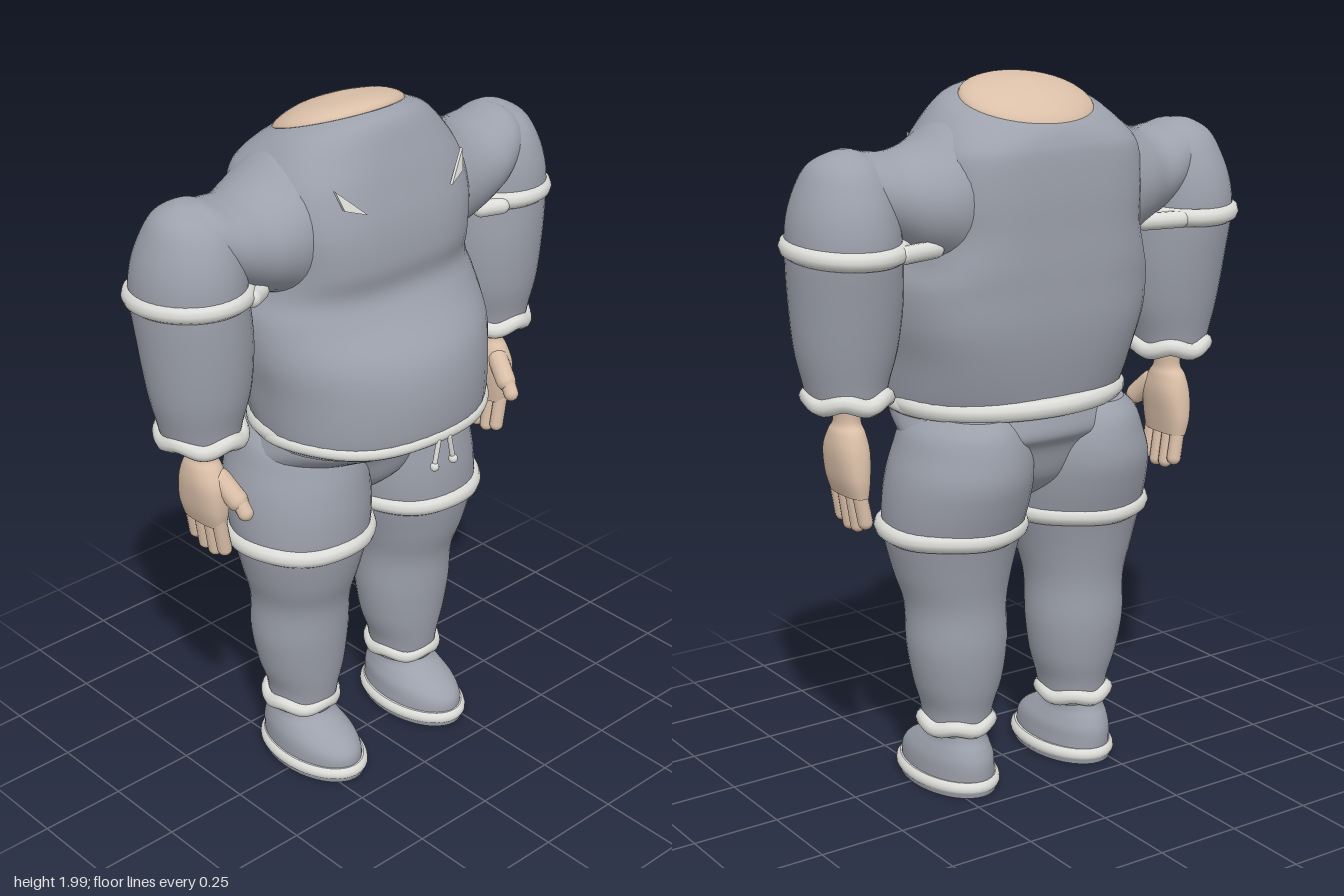
import * as THREE from 'three';

const mat = (name, color) => Object.assign(new THREE.MeshStandardMaterial({ color }), { name });

// Smooth loft through rows of [y, x0, x1, zFront, zBack, nFront, nBack, tilt], listed upwards
function loft(rows, s = 1, sub = 5, seg = 40) {
  const full = rows.map(([y, x0, x1, f, b, nf = 2, nb = nf, t = 0]) => [y, x0, x1, f, b, nf, nb, t]);
  const at = i => full[Math.max(0, Math.min(full.length - 1, i))];
  const rings = [];
  for (let i = 0; i < full.length - 1; i++)
    for (let k = 0; k < sub; k++) {
      const u = k / sub;
      rings.push(full[i].map((_, c) => {
        const [p, q, r, w] = [at(i - 1)[c], at(i)[c], at(i + 1)[c], at(i + 2)[c]];
        return q + 0.5 * u * (r - p + u * (2 * p - 5 * q + 4 * r - w + u * (3 * (q - r) + w - p)));
      }));
    }
  rings.push(full[full.length - 1]);
  const pos = [], idx = [];
  const ring = ([y, x0, x1, f, b, nf, nb, t]) => {
    const cz = (f + b) / 2;
    for (let j = 0; j < seg; j++) {
      const a = (j / seg) * Math.PI * 2, c = Math.cos(a), d = Math.sin(a), e = 2 / (d >= 0 ? nf : nb);
      const z = (f - b) / 2 * Math.sign(d) * Math.abs(d) ** e;
      pos.push(s * (x0 + x1) / 2 + (x1 - x0) / 2 * Math.sign(c) * Math.abs(c) ** e, y + t * z, cz + z);
    }
  };
  rings.forEach(ring);
  for (let i = 0; i < rings.length - 1; i++)
    for (let j = 0; j < seg; j++) {
      const a = i * seg + j, c = i * seg + (j + 1) % seg;
      idx.push(a, a + seg, c, a + seg, c + seg, c);
    }
  for (const [r, top] of [[rings[0], false], [rings[rings.length - 1], true]]) {
    const o = pos.length / 3;
    ring(r);
    pos.push(s * (r[1] + r[2]) / 2, r[0], (r[3] + r[4]) / 2);
    for (let j = 0; j < seg; j++) {
      const a = o + j, b = o + (j + 1) % seg;
      idx.push(o + seg, top ? b : a, top ? a : b);
    }
  }
  const g = new THREE.BufferGeometry();
  g.setAttribute('position', new THREE.Float32BufferAttribute(pos, 3));
  g.setIndex(idx);
  g.computeVertexNormals();
  return g;
}

// Rolled trim running round an oval, with an optional wave
function trim(y, x0, x1, f, b, r, s = 1, wave = 0, tilt = 0) {
  const pts = [];
  for (let j = 0; j < 32; j++) {
    const a = (j / 32) * Math.PI * 2, z = Math.sin(a) * (f - b) / 2;
    pts.push(new THREE.Vector3(s * (x0 + x1) / 2 + Math.cos(a) * (x1 - x0) / 2,
      y + tilt * z + wave * Math.sin(a * 5), (f + b) / 2 + z));
  }
  return new THREE.TubeGeometry(new THREE.CatmullRomCurve3(pts, true), 64, r, 10, true);
}

// Rounded rod between two points
function rod(a, b, r) {
  const p = new THREE.Vector3(...a), q = new THREE.Vector3(...b), d = q.clone().sub(p);
  const g = new THREE.CapsuleGeometry(r, d.length(), 6, 12);
  g.applyQuaternion(new THREE.Quaternion().setFromUnitVectors(new THREE.Vector3(0, 1, 0), d.normalize()));
  return g.translate(...p.add(q).multiplyScalar(0.5).toArray());
}

export function createModel() {
  const root = new THREE.Group();
  root.name = 'suitedFigure';
  const cloth = mat('greyCloth', 0x9da1ac), white = mat('whiteTrim', 0xdcdcd8), skin = mat('skin', 0xdabfa8);
  const add = (name, geo, m) => {
    const mesh = new THREE.Mesh(geo, m);
    mesh.name = name;
    root.add(mesh);
    return mesh;
  };

  // Torso with round belly, square back and sloping collar
  add('torso', loft([
    [1.09, -0.335, 0.335, 0.285, -0.25], [1.14, -0.345, 0.345, 0.303, -0.265, 2, 2.4],
    [1.25, -0.355, 0.355, 0.305, -0.29, 2, 2.8], [1.35, -0.37, 0.37, 0.28, -0.305, 2, 3],
    [1.45, -0.365, 0.365, 0.205, -0.31, 2.2, 3], [1.52, -0.335, 0.335, 0.168, -0.312, 2.6, 3.4],
    [1.6, -0.315, 0.315, 0.178, -0.312, 3, 3.6], [1.7, -0.318, 0.318, 0.17, -0.312, 3.2, 3.6],
    [1.8, -0.31, 0.31, 0.145, -0.305, 3, 3.4], [1.86, -0.28, 0.28, 0.12, -0.295, 2.6, 3, 0.1],
    [1.91, -0.235, 0.235, 0.09, -0.283, 2.2, 2.4, 0.24], [1.928, -0.198, 0.198, 0.05, -0.272, 2, 2, 0.3],
  ]), cloth);
  add('neck', loft([
    [1.9, -0.192, 0.192, 0.045, -0.268, 2, 2, 0.3], [1.935, -0.188, 0.188, 0.04, -0.262, 2, 2, 0.3],
    [1.965, -0.14, 0.14, 0.01, -0.21, 2, 2, 0.25], [1.982, -0.07, 0.07, -0.03, -0.14, 2, 2, 0.2],
    [1.988, -0.01, 0.01, -0.07, -0.09, 2, 2, 0.1],
  ]), skin);

  // Hips under the belly
  add('hips', loft([
    [0.83, -0.03, 0.03, 0.0, -0.12], [0.9, -0.19, 0.19, 0.08, -0.21], [1.0, -0.335, 0.335, 0.12, -0.25],
    [1.04, -0.345, 0.345, 0.19, -0.28], [1.09, -0.335, 0.335, 0.28, -0.275], [1.14, -0.32, 0.32, 0.27, -0.26],
  ]), cloth);
  add('shirtHem', trim(1.115, -0.335, 0.335, 0.29, -0.26, 0.02, 1, 0.004), white);
  add('waistband', trim(1.12, -0.325, 0.325, 0.22, -0.268, 0.028), white);

  for (const s of [1, -1]) {
    const side = s > 0 ? 'left' : 'right';
    const part = (name, geo, m) => add(side + name, geo, m);

    // Drawstring and chest pocket tab
    part('Drawstring', rod([s * 0.02, 1.11, 0.305], [s * 0.034, 1.045, 0.305], 0.007), white);
    part('DrawstringTip', new THREE.SphereGeometry(0.013, 12, 8).translate(s * 0.035, 1.038, 0.306), white);
    const tab = new THREE.Shape([[0.15, 1.76], [0.21, 1.78], [0.226, 1.832]].map(([x, y]) => new THREE.Vector2(s * x, y)));
    const tabGeo = new THREE.ExtrudeGeometry(tab, { depth: 0.009, bevelEnabled: false });
    const tp = tabGeo.attributes.position;
    for (let i = 0; i < tp.count; i++)
      tp.setZ(i, tp.getZ(i) + 0.158 - 0.3 * (tp.getY(i) - 1.76) - 0.25 * (Math.abs(tp.getX(i)) - 0.15));
    tabGeo.computeVertexNormals();
    part('PocketTab', tabGeo, white);

    // Sleeve and shoulder
    part('Sleeve', loft([
      [1.17, 0.44, 0.64, 0.045, -0.17], [1.23, 0.425, 0.655, 0.055, -0.18], [1.32, 0.4, 0.675, 0.075, -0.2],
      [1.45, 0.39, 0.688, 0.088, -0.225], [1.58, 0.4, 0.695, 0.09, -0.245], [1.67, 0.405, 0.687, 0.085, -0.235],
      [1.75, 0.42, 0.66, 0.06, -0.205], [1.8, 0.45, 0.63, 0.02, -0.17], [1.83, 0.5, 0.58, -0.04, -0.12],
      [1.836, 0.535, 0.55, -0.07, -0.09],
    ], s), cloth);
    const shoulder = part('Shoulder', loft([
      [0.18, 1.5, 1.92, 0.07, -0.25], [0.26, 1.5, 1.885, 0.1, -0.265], [0.33, 1.53, 1.84, 0.1, -0.255],
      [0.4, 1.56, 1.82, 0.09, -0.225], [0.47, 1.6, 1.824, 0.08, -0.21], [0.54, 1.65, 1.834, 0.05, -0.18],
      [0.61, 1.68, 1.78, 0.0, -0.14],
    ], -s), cloth);
    shoulder.rotation.z = -s * Math.PI / 2;
    part('SleeveBand', trim(1.585, 0.405, 0.685, 0.08, -0.24, 0.026, s, 0, 0.06), white);
    part('BandEndFront', rod([s * 0.4, 1.58, 0.03], [s * 0.45, 1.585, 0.06], 0.024), white);
    part('BandEndBack', rod([s * 0.34, 1.575, -0.19], [s * 0.45, 1.575, -0.215], 0.024), white);
    part('SleeveCuff', trim(1.185, 0.437, 0.637, 0.045, -0.172, 0.025, s, 0.008), white);

    // Hand with four fingers and a thumb
    part('Palm', loft([
      [0.92, 0.505, 0.565, 0.015, -0.142, 2.6], [0.97, 0.498, 0.58, 0.025, -0.147, 2.6],
      [1.04, 0.49, 0.588, 0.025, -0.14, 2.4], [1.09, 0.495, 0.583, 0.005, -0.125], [1.12, 0.503, 0.572, -0.015, -0.105],
      [1.18, 0.5, 0.575, -0.01, -0.11],
    ], s), skin);
    [[0.0, 0.845], [-0.04, 0.83], [-0.081, 0.833], [-0.121, 0.85]].forEach(([z, y], i) => {
      part('Finger' + (i + 1), rod([s * 0.54, 0.95, z * 0.97], [s * 0.522, y, z], 0.0205), skin);
    });
    part('ThumbBase', rod([s * 0.525, 1.06, -0.005], [s * 0.51, 1.01, 0.045], 0.03), skin);
    part('Thumb', rod([s * 0.51, 1.02, 0.045], [s * 0.505, 0.98, 0.072], 0.022), skin);

    // Leg
    part('Leg', loft([
      [0.17, 0.11, 0.295, 0.035, -0.165], [0.24, 0.1, 0.3, 0.048, -0.175], [0.32, 0.075, 0.325, 0.06, -0.195],
      [0.43, 0.06, 0.345, 0.072, -0.21], [0.55, 0.06, 0.347, 0.083, -0.21], [0.65, 0.04, 0.375, 0.115, -0.225],
      [0.76, 0.012, 0.4, 0.14, -0.25], [0.85, 0.0, 0.403, 0.145, -0.28], [0.93, 0.0, 0.393, 0.14, -0.3],
      [1.0, 0.01, 0.37, 0.13, -0.296], [1.06, 0.04, 0.345, 0.11, -0.28], [1.1, 0.08, 0.3, 0.05, -0.25],
    ], s), cloth);
    part('ThighBand', trim(0.772, 0.02, 0.395, 0.135, -0.243, 0.027, s, 0.002), white);
    part('AnkleCuff', trim(0.195, 0.113, 0.295, 0.03, -0.165, 0.023, s, 0.006), white);

    // Shoe
    part('Shoe', loft([
      [0.03, 0.095, 0.308, 0.162, -0.198], [0.07, 0.098, 0.308, 0.16, -0.2], [0.1, 0.102, 0.305, 0.135, -0.197],
      [0.13, 0.115, 0.295, 0.085, -0.185], [0.155, 0.125, 0.285, 0.04, -0.17], [0.19, 0.125, 0.282, 0.02, -0.16],
    ], s), cloth);
    part('SoleRim', loft([
      [0.014, 0.083, 0.32, 0.174, -0.206], [0.022, 0.078, 0.325, 0.179, -0.211],
      [0.036, 0.08, 0.323, 0.177, -0.209], [0.046, 0.09, 0.313, 0.167, -0.2],
    ], s, 2), white);
    part('SoleBottom', loft([
      [0, 0.088, 0.315, 0.169, -0.201], [0.016, 0.085, 0.318, 0.172, -0.204],
    ], s, 1), cloth);
  }
  return root;
}
